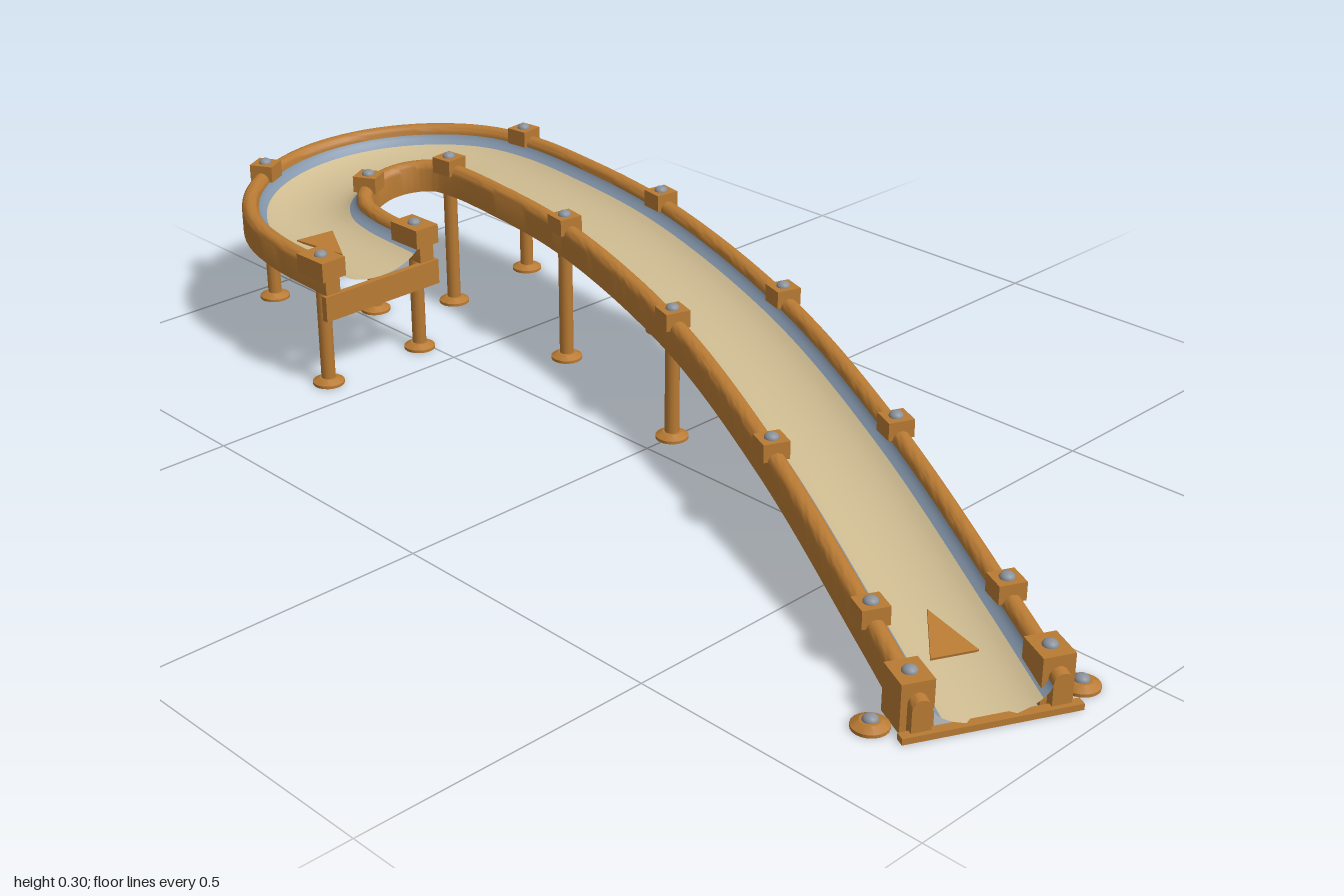
import * as THREE from 'three';
import { toCreasedNormals } from 'three/addons/utils/BufferGeometryUtils.js';

const mat = (name, color, side = THREE.FrontSide) =>
  Object.assign(new THREE.MeshStandardMaterial({ color, side }), { name });

const RAIL_U = 0.104; // rail offset from the centre line
const UP = new THREE.Vector3(0, 1, 0);

// Centre line at rail height: long rising run, half-circle bend, short straight
function makePath() {
  const p = [[-0.232, 0.05, 0.9], [-0.152, 0.087, 0.737], [0.0125, 0.16, 0.392],
    [0.157, 0.214, 0.035], [0.248, 0.254, -0.335], [0.269, 0.267, -0.57]];
  const bendY = [0.27, 0.27, 0.267, 0.263, 0.258, 0.252, 0.246, 0.239, 0.233];
  bendY.forEach((y, i) => {
    const a = (i / 8) * Math.PI;
    p.push([0.075 + 0.195 * Math.cos(a), y, -0.688 - 0.195 * Math.sin(a)]);
  });
  p.push([-0.12, 0.226, -0.545]);
  return new THREE.CatmullRomCurve3(p.map(q => new THREE.Vector3(...q)));
}

function makeFrames(curve, n) {
  const frames = [];
  for (let i = 0; i <= n; i++) {
    const pos = curve.getPointAt(i / n);
    const tan = curve.getTangentAt(i / n);
    const side = new THREE.Vector3(-tan.z, 0, tan.x).normalize();
    frames.push({ pos, tan, side, yaw: Math.atan2(-side.z, side.x) });
  }
  return frames;
}

const at = (f, u, v) => f.pos.clone().addScaledVector(f.side, u).addScaledVector(UP, v);

// Sweeps a [u, v] section along the frames; closed sections get end caps
function sweep(frames, section, closed) {
  const pos = [], index = [], m = section.length;
  frames.forEach(f => section.forEach(([u, v]) => pos.push(...at(f, u, v).toArray())));
  const last = (frames.length - 1) * m;
  for (let j = 0; j < frames.length - 1; j++) {
    for (let i = 0; i < (closed ? m : m - 1); i++) {
      const k = (i + 1) % m, a = j * m + i, b = j * m + k;
      index.push(a, a + m, b, b, a + m, b + m);
    }
  }
  if (closed) {
    for (let i = 1; i < m - 1; i++) {
      index.push(0, i, i + 1, last, last + i + 1, last + i);
    }
  }
  const g = new THREE.BufferGeometry();
  g.setAttribute('position', new THREE.Float32BufferAttribute(pos, 3));
  g.setIndex(index);
  if (closed) return toCreasedNormals(g, 0.7);
  g.computeVertexNormals();
  return g;
}

export function createModel() {
  const root = new THREE.Group();
  root.name = 'slide';
  const wood = mat('wood', 0xb87a33);
  const floorMat = mat('sand floor', 0xcdba90, THREE.DoubleSide);
  const wallMat = mat('blue grey wall', 0x8496ab, THREE.DoubleSide);
  const steel = mat('bolt steel', 0x8b9199);

  const add = (name, geo, material, position, yaw = 0) => {
    const mesh = new THREE.Mesh(geo, material);
    mesh.name = name;
    if (position) mesh.position.copy(position);
    mesh.rotation.y = yaw;
    root.add(mesh);
    return mesh;
  };

  const frames = makeFrames(makePath(), 160);
  const nearest = (x, z) => frames.reduce((best, f) =>
    Math.hypot(f.pos.x - x, f.pos.z - z) < Math.hypot(best.pos.x - x, best.pos.z - z) ? f : best);

  // Trough: curved floor with a strip up each wall
  const arc = (a, b, n) => Array.from({ length: n + 1 }, (_, i) => {
    const t = a + (b - a) * i / n;
    return [0.091 * Math.sin(t), 0.005 - 0.045 * Math.cos(t)];
  });
  add('troughFloor', sweep(frames, arc(-0.98, 0.98, 14), false), floorMat);
  add('rightWall', sweep(frames, arc(0.98, Math.PI / 2, 5), false), wallMat);
  add('leftWall', sweep(frames, arc(-Math.PI / 2, -0.98, 5), false), wallMat);

  // Rails: rounded on top, flat below
  const railSection = [[-0.015, -0.044], [0.015, -0.044]];
  for (let i = 0; i <= 8; i++) {
    const a = i / 8 * Math.PI;
    railSection.push([0.015 * Math.cos(a), -0.002 + 0.015 * Math.sin(a)]);
  }
  for (const s of [-1, 1]) {
    add(s < 0 ? 'leftRail' : 'rightRail',
      sweep(frames, railSection.map(([u, v]) => [u + s * RAIL_U, v]), true), wood);
  }

  // Shared hardware
  const boltGeo = new THREE.SphereGeometry(0.012, 12, 5, 0, Math.PI * 2, 0, Math.PI / 2).scale(1, 0.75, 1);
  const clampGeo = new THREE.BoxGeometry(0.044, 0.03, 0.042);
  const footGeo = new THREE.LatheGeometry([[0, 0.004], [0.028, 0.004], [0.028, 0.009], [0.016, 0.016], [0, 0.016]]
    .map(q => new THREE.Vector2(...q)), 20);
  const foot = toCreasedNormals(footGeo, 0.4);

  const pole = (p, top) => {
    const h = top - 0.008;
    add('pole', new THREE.CylinderGeometry(0.0125, 0.0125, h, 14), wood,
      new THREE.Vector3(p.x, 0.008 + h / 2, p.z));
    add('poleFoot', foot, wood, new THREE.Vector3(p.x, 0, p.z));
  };

  // Clamp pairs along the rails; the higher ones stand on poles
  const pairs = [[-0.152, 0.737, false], [0.0125, 0.392, false], [0.157, 0.035, true],
    [0.25, -0.335, true], [0.27, -0.715, true], [-0.015, -0.86, true]];
  for (const [x, z, hasPole] of pairs) {
    const f = nearest(x, z);
    for (const s of [-1, 1]) {
      const p = at(f, s * RAIL_U, 0.011);
      add('clamp', clampGeo, wood, p, f.yaw);
      add('bolt', boltGeo, steel, p.clone().setY(p.y + 0.015));
      if (hasPole) pole(p, p.y - 0.01);
    }
  }

  // Upper end: blocks, poles and cross beam
  const end = nearest(-0.12, -0.582), lip = frames[frames.length - 1];
  for (const s of [-1, 1]) {
    const p = at(end, s * 0.105, 0).setY(0.23);
    add('endBlock', new THREE.BoxGeometry(0.05, 0.035, 0.07), wood, p, end.yaw);
    add('bolt', boltGeo, steel, p.clone().setY(0.2475));
    pole(p, 0.22);
  }
  add('endBeam', new THREE.BoxGeometry(0.25, 0.046, 0.012), wood,
    lip.pos.clone().setY(0.16), lip.yaw);

  // Lower end: tall blocks, ground feet and sill
  const start = nearest(-0.217, 0.865);
  for (const s of [-1, 1]) {
    const p = at(start, s * RAIL_U, 0).setY(0.044);
    add('startBlock', new THREE.BoxGeometry(0.05, 0.077, 0.06), wood, p, start.yaw);
    add('bolt', boltGeo, steel, p.clone().setY(0.0825));
    const q = at(start, s * 0.158, 0).setY(0);
    add('groundFoot', foot, wood, q);
    add('bolt', boltGeo, steel, q.clone().setY(0.016));
  }
  add('sill', new THREE.BoxGeometry(0.27, 0.01, 0.016), wood,
    frames[0].pos.clone().setY(0.009), frames[0].yaw);

  // Direction arrows lying on the floor
  const tri = new THREE.Shape([[-0.037, -0.045], [0.037, -0.045], [0, 0.05]].map(q => new THREE.Vector2(...q)));
  for (const [x, z] of [[-0.16, 0.745], [-0.115, -0.695]]) {
    const f = nearest(x, z);
    const normal = new THREE.Vector3().crossVectors(f.side, f.tan);
    const g = new THREE.ExtrudeGeometry(tri, { depth: 0.004, bevelEnabled: false });
    g.applyMatrix4(new THREE.Matrix4().makeBasis(f.side, f.tan, normal).setPosition(at(f, 0, -0.037)));
    add('arrow', g, wood);
  }
  return root;
}
